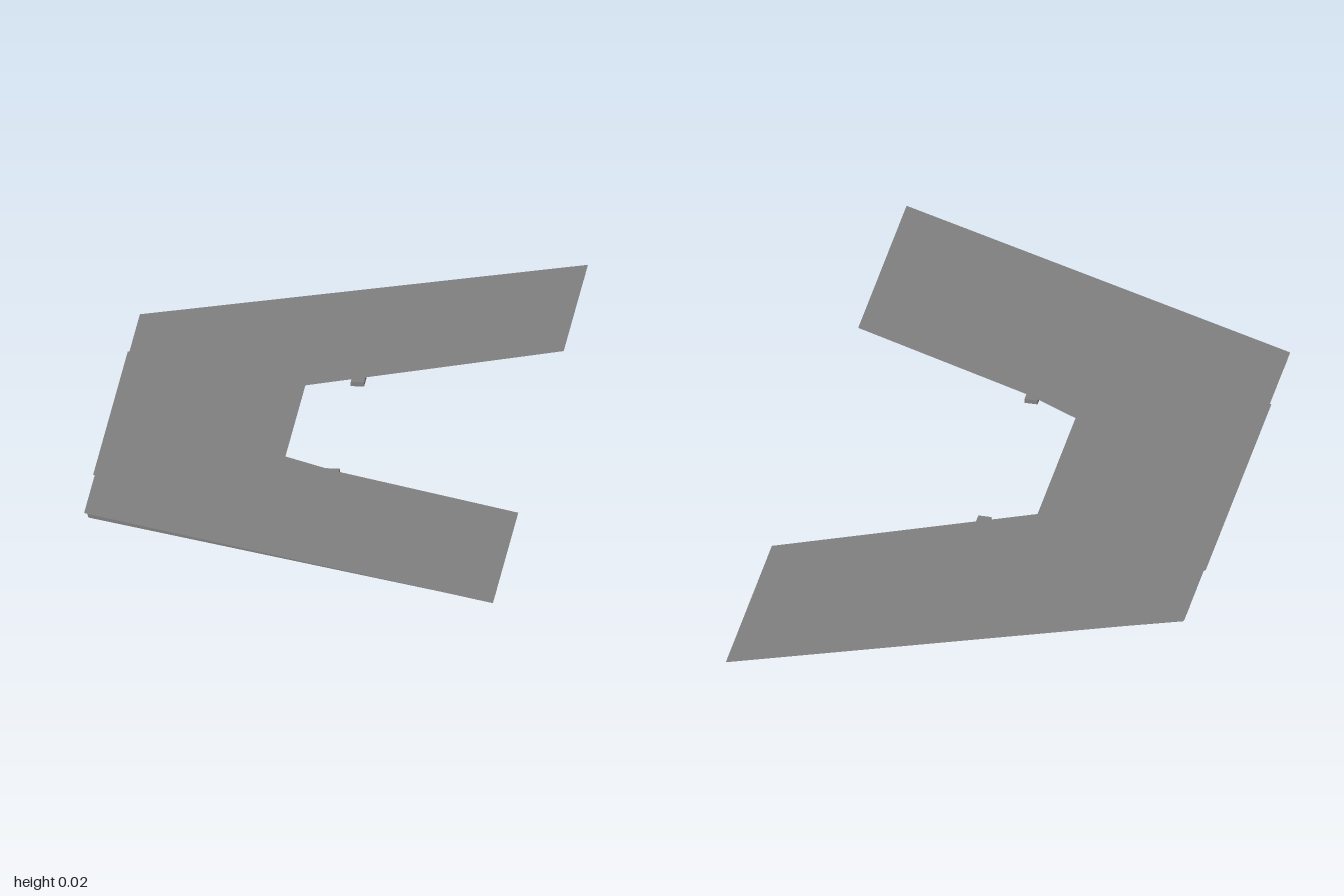
import * as THREE from 'three';

const SHEET_Y = 0.022;

export function createModel() {
  const group = new THREE.Group();
  const sheetGrey = new THREE.MeshStandardMaterial({ color: 0x808080, side: THREE.DoubleSide });
  sheetGrey.name = 'sheet grey';

  const add = (name, geometry) => {
    const mesh = new THREE.Mesh(geometry, sheetGrey);
    mesh.name = name;
    group.add(mesh);
    return mesh;
  };

  // Thin C-shaped sheet, outlined as [x, z]
  const outline = [
    [0.515, -1], [-0.515, -0.59], [-0.515, -0.37], [-0.519, -0.37], [-0.519, 0.36], [-0.515, 0.36],
    [-0.515, 0.585], [0.515, 1], [0.515, 0.465], [0.05, 0.27], [-0.075, 0.2],
    [-0.075, -0.22], [0.515, -0.49],
  ];
  const shape = new THREE.Shape(outline.map(([x, z]) => new THREE.Vector2(x, -z)));
  add('roofSheet', new THREE.ShapeGeometry(shape).rotateX(-Math.PI / 2).translate(0, SHEET_Y, 0));

  // Rail under each slanted edge: a box sheared along z, with raked ends
  const edgeRail = (side) => {
    const height = SHEET_Y - 0.001;
    const geometry = new THREE.BoxGeometry(1.03, height, 0.042);
    const p = geometry.attributes.position;
    for (let i = 0; i < p.count; i++) {
      const x = p.getX(i) * (p.getY(i) < 0 ? 0.985 : 1);
      p.setX(i, x);
      p.setZ(i, p.getZ(i) + side * (0.733 + 0.381 * x));
    }
    geometry.computeVertexNormals();
    geometry.translate(0, height / 2, 0);
    add(side > 0 ? 'frontEdgeRail' : 'backEdgeRail', geometry);
  };

  // Shallow beams running along z
  const crossBeam = (name, x, z0, z1) => {
    const height = 0.011;
    add(name, new THREE.BoxGeometry(0.032, height, z1 - z0))
      .position.set(x, SHEET_Y - 0.001 - height / 2, (z0 + z1) / 2);
  };

  edgeRail(1);
  edgeRail(-1);
  crossBeam('longCrossBeam', -0.412, -0.59, 0.59);
  crossBeam('frontCrossBeam', 0.046, 0.255, 0.765);
  crossBeam('backCrossBeam', 0.046, -0.765, -0.255);

  return group;
}
